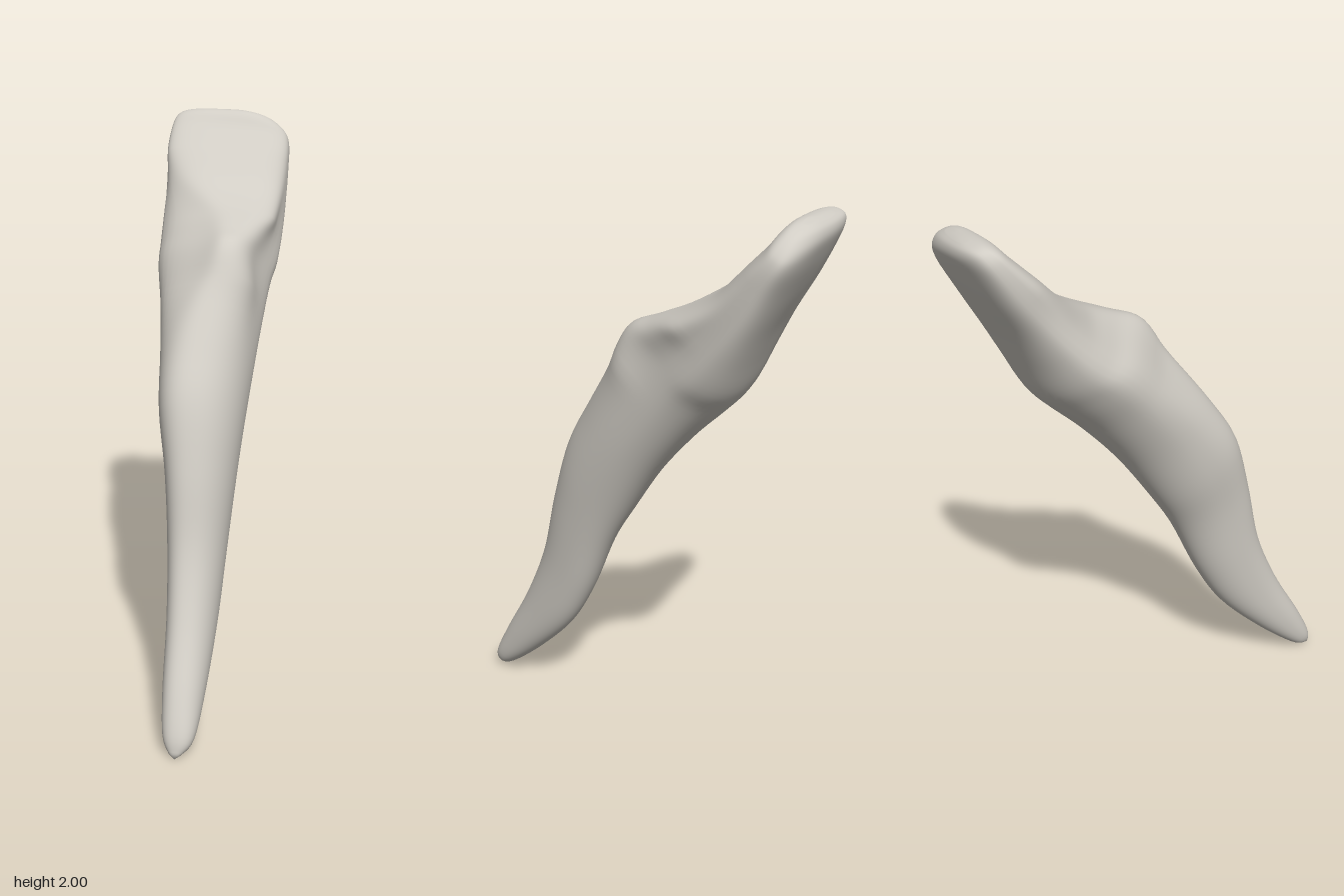
import * as THREE from 'three';

// Cross-sections from root tip to biting edge:
// front z, front y, back z, back y, min x, max x, front narrowing, twist
const SECTIONS = [
  [0.712, 0.02, 0.685, 0.004, 0.07, 0.11, 0, 0],
  [0.70, 0.08, 0.62, 0.03, 0.04, 0.145, 0, 0.05],
  [0.64, 0.20, 0.47, 0.15, 0.018, 0.157, 0, 0.12],
  [0.525, 0.40, 0.30, 0.32, 0, 0.163, 0, 0.2],
  [0.43, 0.62, 0.19, 0.50, -0.02, 0.168, 0, 0.25],
  [0.37, 0.87, 0.09, 0.72, -0.045, 0.18, 0, 0.3],
  [0.30, 1.10, 0, 0.87, -0.085, 0.19, 0, 0.3],
  [0.20, 1.27, -0.13, 1.06, -0.115, 0.20, 0.08, 0.3],
  [0.09, 1.44, -0.27, 1.22, -0.155, 0.209, 0.25, 0.28],
  [0.002, 1.59, -0.385, 1.33, -0.195, 0.219, 0.48, 0.24],
  [-0.11, 1.645, -0.465, 1.41, -0.21, 0.23, 0.45, 0.22],
  [-0.24, 1.705, -0.535, 1.53, -0.217, 0.23, 0.28, 0.22],
  [-0.36, 1.78, -0.60, 1.65, -0.222, 0.226, 0.1, 0.22],
  [-0.46, 1.87, -0.658, 1.76, -0.23, 0.22, 0, 0.2],
  [-0.54, 1.945, -0.708, 1.86, -0.23, 0.212, 0, 0.2],
  [-0.585, 1.985, -0.722, 1.92, -0.218, 0.192, 0, 0.18],
  [-0.62, 2.0, -0.712, 1.963, -0.185, 0.145, 0, 0.14],
  [-0.65, 2.0, -0.69, 1.985, -0.11, 0.06, 0, 0.1],
];
const AROUND = 56, STEPS = 5, RIDGE_X = 0.105;
const { smoothstep, lerp } = THREE.MathUtils;

// Smooth interpolation of every section value
function sectionAt(t) {
  const last = SECTIONS.length - 1;
  const i = Math.min(Math.floor(t), last - 1), f = t - i;
  const row = (n) => SECTIONS[Math.max(0, Math.min(last, n))];
  return SECTIONS[0].map((_, c) => {
    const [a, b, d, e] = [-1, 0, 1, 2].map((o) => row(i + o)[c]);
    const m0 = (d - a) / 2, m1 = (e - b) / 2;
    return (2 * f ** 3 - 3 * f * f + 1) * b + (f ** 3 - 2 * f * f + f) * m0
      + (3 * f * f - 2 * f ** 3) * d + (f ** 3 - f * f) * m1;
  });
}

const signedPow = (v, p) => Math.sign(v) * Math.abs(v) ** p;

function toothGeometry() {
  const positions = [], index = [];
  const rings = (SECTIONS.length - 1) * STEPS + 1;
  for (let i = 0; i < rings; i++) {
    const t = i / STEPS;
    const [fz, fy, bz, by, x0, x1, narrow, twist] = sectionAt(t);
    // Oval root, squarer crown, flattest on the crown's inner face
    const square = smoothstep(t, 9, 12) * (1 - 0.6 * smoothstep(t, 14, 16));
    const cx = (x0 + x1) / 2, hw = (x1 - x0) / 2;
    const len = Math.hypot(fz - bz, fy - by);
    const dz = (fz - bz) / len, dy = (fy - by) / len;
    const half = Math.max(len * 0.3, len / 2 - twist * hw * lerp(0.15, 0.6, square));
    const shift = THREE.MathUtils.clamp(narrow * 3, 0, 1) * (RIDGE_X - cx);
    // The biting edge slopes down on one side
    const slant = 0.9 * smoothstep(t, 13, 16);
    for (let j = 0; j < AROUND; j++) {
      const a = (j / AROUND) * Math.PI * 2;
      const power = 2 / (2.2 + square * (Math.sin(a) > 0 ? 1.1 : 0.5));
      const c = signedPow(Math.cos(a), power);
      const s = signedPow(Math.sin(a), power);
      const front = smoothstep(s, -0.4, 1);
      const x = cx + shift * front * front + hw * c * lerp(1, 1 - narrow, front);
      const v = half * s - twist * (x - cx);
      const drop = slant * Math.max(0, x) ** 2;
      positions.push(x, (fy + by) / 2 + dy * v - dz * drop, (fz + bz) / 2 + dz * v + dy * drop);
    }
  }
  for (let i = 0; i < rings - 1; i++) {
    for (let j = 0; j < AROUND; j++) {
      const k = (j + 1) % AROUND;
      const a = i * AROUND + j, b = a + AROUND, c = i * AROUND + k, d = c + AROUND;
      index.push(a, b, c, b, d, c);
    }
  }
  // Close both ends
  const tip = positions.length / 3, edge = tip + 1, top = (rings - 1) * AROUND;
  positions.push(0.09, 0, 0.708, -0.025, 1.996, -0.672);
  for (let j = 0; j < AROUND; j++) {
    const k = (j + 1) % AROUND;
    index.push(tip, j, k, edge, top + k, top + j);
  }
  const geometry = new THREE.BufferGeometry();
  geometry.setAttribute('position', new THREE.Float32BufferAttribute(positions, 3));
  geometry.setIndex(index);
  geometry.computeVertexNormals();
  return geometry;
}

export function createModel() {
  const group = new THREE.Group();
  group.name = 'incisorTooth';
  const enamel = new THREE.MeshStandardMaterial({ color: 0xd0ccc4 });
  enamel.name = 'enamel';
  const tooth = new THREE.Mesh(toothGeometry(), enamel);
  tooth.name = 'tooth';
  group.add(tooth);
  return group;
}
